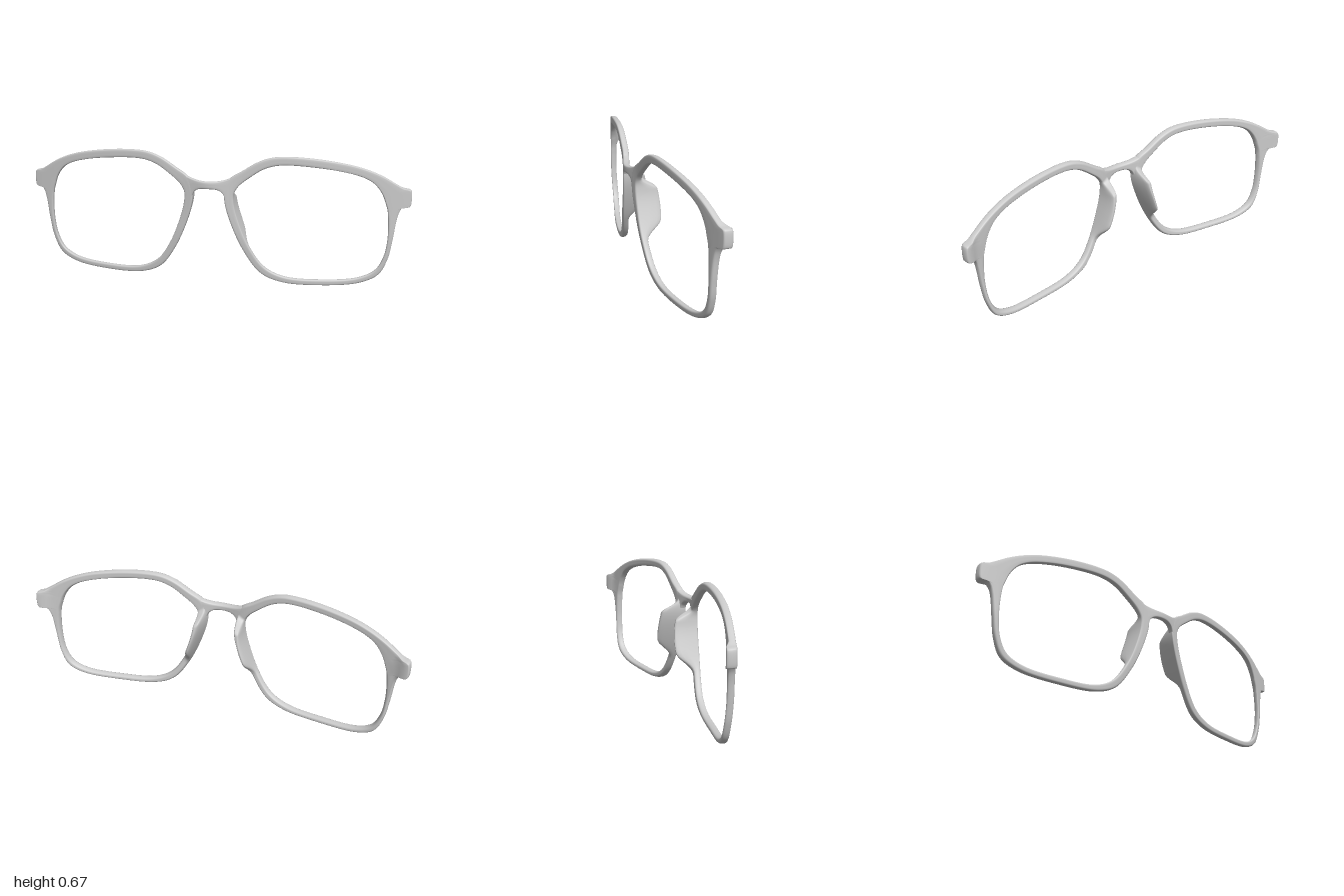
import * as THREE from 'three';

const smooth = THREE.MathUtils.smoothstep;

// Front surface: wrapped around the face, bulging at the bridge, leaning back at the bottom
const frontZ = (x, y) =>
  0.081 - 0.142 * x * x + 0.028 * Math.exp(-((x / 0.095) ** 2)) - 0.02 * (1 - smooth(y, -0.05, 0.3));
// Frame thickness, a little deeper at the hinge blocks
const depthAt = (x) => 0.033 + 0.015 * smooth(x, 0.93, 0.972);
// How far the nose pad reaches behind the rim
const padAt = (y) =>
  0.094 * smooth(y, 0.18, 0.285) * (1 - smooth(y, 0.44, 0.505)) * (1 - 12 * (y - 0.355) ** 2);

// Rim outline, clockwise from the top: outer x, y and matching inner x, y
const RIM = [
  [0.4, 0.675, 0.405, 0.633], [0.55, 0.665, 0.535, 0.624], [0.71, 0.637, 0.665, 0.605],
  [0.8, 0.609, 0.76, 0.579], [0.87, 0.576, 0.812, 0.551], [0.93, 0.539, 0.843, 0.518],
  // hinge block
  [0.965, 0.519, 0.86, 0.49], [0.993, 0.512, 0.869, 0.47], [1, 0.505, 0.874, 0.455],
  [1, 0.432, 0.884, 0.426], [0.993, 0.425, 0.887, 0.415], [0.962, 0.422, 0.89, 0.4],
  // outer side and bottom
  [0.948, 0.403, 0.892, 0.383], [0.936, 0.36, 0.895, 0.35], [0.921, 0.25, 0.896, 0.26],
  [0.902, 0.15, 0.882, 0.165], [0.86, 0.065, 0.843, 0.09], [0.77, 0.02, 0.76, 0.047],
  [0.57, 0.002, 0.57, 0.031], [0.37, 0.014, 0.385, 0.043], [0.265, 0.06, 0.285, 0.092],
  // nose side
  [0.18, 0.175, 0.208, 0.2], [0.11, 0.335, 0.148, 0.35], [0.083, 0.44, 0.129, 0.43],
  [0.085, 0.5, 0.129, 0.477], [0.105, 0.553, 0.152, 0.517], [0.17, 0.596, 0.212, 0.567],
  [0.25, 0.645, 0.275, 0.608], [0.32, 0.669, 0.335, 0.628],
];

// Cross-section: position (0 inner, 1 outer), inset from the sides, front offset, share of depth
const SECTION = [
  [0, 0, 0.007, 0], [0, 0.002, 0.002, 0], [0, 0.007, 0, 0],
  [0.33, 0.007, 0, 0], [0.67, 0.007, 0, 0],
  [1, 0.007, 0, 0], [1, 0.002, 0.002, 0], [1, 0, 0.007, 0],
  [1, 0, 0, 0.5], [1, 0.003, 0, 0.8], [1, 0.006, 0, 0.93], [1, 0.01, 0, 1],
  [0.8, 0.01, 0, 1], [0.6, 0.01, 0, 1], [0.35, 0.01, 0, 1],
  [0, 0.01, 0, 1], [0, 0.006, 0, 0.93], [0, 0.003, 0, 0.8], [0, 0, 0, 0.5],
];

// One ring of the frame between an inner and an outer point; pad extends it backwards
function ring(inner, outer, pad = 0) {
  const width = inner.distanceTo(outer);
  return SECTION.map(([side, inset, offset, share]) => {
    const margin = Math.min((inset + share * pad * 0.06) / width, 0.42);
    const p = inner.clone().lerp(outer, margin + side * (1 - 2 * margin));
    p.z = frontZ(p.x, p.y) - offset - share * (depthAt(p.x) + pad);
    p.x += 0.08 * share * pad;
    return p;
  });
}

// Skin a row of rings
function loft(rings, closed, mirror) {
  const n = rings[0].length;
  const positions = rings.flat().flatMap((p) => [mirror ? -p.x : p.x, p.y, p.z]);
  const index = [];
  const count = closed ? rings.length : rings.length - 1;
  for (let i = 0; i < count; i++) {
    for (let j = 0; j < n; j++) {
      const i2 = (i + 1) % rings.length, j2 = (j + 1) % n;
      const a = i * n + j, b = i2 * n + j, c = i2 * n + j2, d = i * n + j2;
      if (mirror) index.push(a, c, b, a, d, c);
      else index.push(a, b, c, a, c, d);
    }
  }
  const geometry = new THREE.BufferGeometry();
  geometry.setAttribute('position', new THREE.Float32BufferAttribute(positions, 3));
  geometry.setIndex(index);
  geometry.computeVertexNormals();
  return geometry;
}

const curve = (points, closed) =>
  new THREE.CatmullRomCurve3(points.map(([x, y]) => new THREE.Vector3(x, y, 0)), closed);

export function createModel() {
  const group = new THREE.Group();
  const material = new THREE.MeshStandardMaterial({ color: 0xcccccc });
  const add = (name, geometry) => {
    const mesh = new THREE.Mesh(geometry, material);
    mesh.name = name;
    group.add(mesh);
  };

  // Rims with hinge blocks and nose pads, mirrored
  const outerCurve = curve(RIM.map((r) => r.slice(0, 2)), true);
  const innerCurve = curve(RIM.map((r) => r.slice(2)), true);
  const rimRings = [];
  const steps = RIM.length * 10;
  for (let i = 0; i < steps; i++) {
    const outer = outerCurve.getPoint(i / steps);
    const inner = innerCurve.getPoint(i / steps);
    rimRings.push(ring(inner, outer, outer.x < 0.25 ? padAt((outer.y + inner.y) / 2) : 0));
  }
  add('leftRim', loft(rimRings, true, false));
  add('rightRim', loft(rimRings, true, true));

  // Bridge, flaring into the rims
  const both = (half) => [...half.slice(1).reverse().map(([x, y]) => [-x, y]), ...half];
  const top = curve(both([[0, 0.539], [0.05, 0.542], [0.085, 0.549], [0.112, 0.558]]), false);
  const bottom = curve(both([[0, 0.502], [0.05, 0.497], [0.074, 0.48], [0.09, 0.44]]), false);
  const bridgeRings = [];
  for (let i = 0; i <= 48; i++) bridgeRings.push(ring(bottom.getPoint(i / 48), top.getPoint(i / 48)));
  add('bridge', loft(bridgeRings, false, false));

  return group;
}
